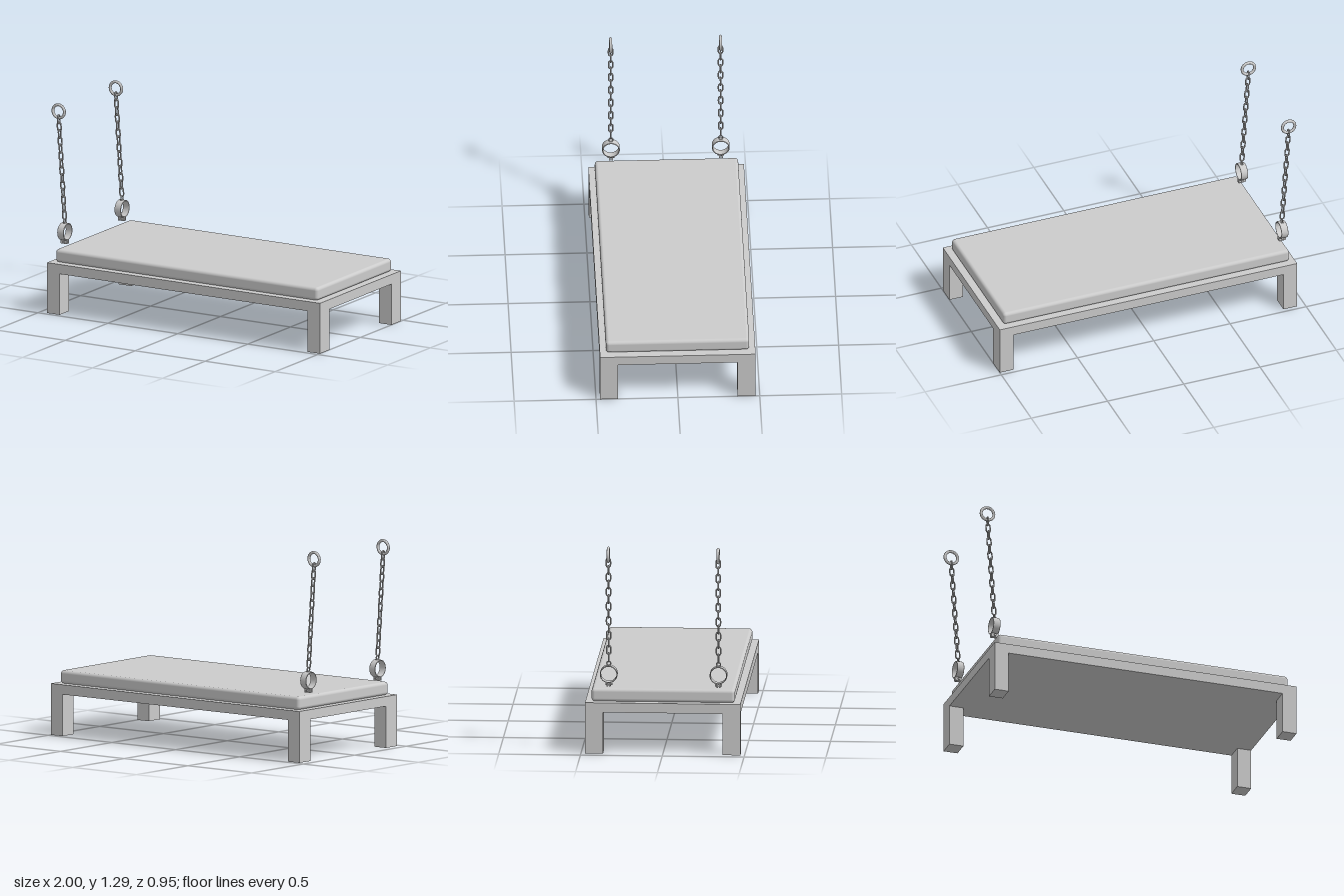
import * as THREE from 'three';
import { RoundedBoxGeometry } from 'three/addons/geometries/RoundedBoxGeometry.js';

const grey = new THREE.MeshStandardMaterial({ color: 0xcccccc });

function add(parent, name, geometry, x = 0, y = 0, z = 0) {
  const mesh = new THREE.Mesh(geometry, grey);
  mesh.name = name;
  mesh.position.set(x, y, z);
  parent.add(mesh);
  return mesh;
}

// Closed stadium-shaped wire in the XY plane, long axis on Y
function linkGeometry(halfWidth, halfLength, wire) {
  const r = halfWidth - wire, s = halfLength - halfWidth;
  const points = [];
  for (let i = 0; i < 16; i++) {
    const a = ((i + 0.5) / 16) * Math.PI * 2;
    points.push(new THREE.Vector3(r * Math.cos(a), r * Math.sin(a) + (i < 8 ? s : -s), 0));
  }
  return new THREE.TubeGeometry(new THREE.CatmullRomCurve3(points, true), 32, wire, 8, true);
}

// Thin flat hoop with its axis on X
function bandGeometry(outer, inner, width) {
  const h = width / 2, b = 0.002;
  const profile = [
    [inner, -h], [outer - b, -h], [outer, -h + b], [outer, h - b],
    [outer - b, h], [inner, h], [inner, -h],
  ];
  const shape = new THREE.LatheGeometry(profile.map(([r, y]) => new THREE.Vector2(r, y)), 40);
  return shape.rotateZ(Math.PI / 2);
}

function createRestraint(z) {
  const g = new THREE.Group();
  g.name = 'hangingChain';
  g.position.z = z;

  // Wall ring at the top
  add(g, 'topRing', new THREE.TorusGeometry(0.041, 0.009, 12, 36), -0.95, 1.24, 0);

  // Leaning chain with alternating links
  const bottom = new THREE.Vector3(-0.909, 0.594, 0);
  const top = new THREE.Vector3(-0.949, 1.19, 0);
  const chain = new THREE.Group();
  chain.name = 'chain';
  chain.position.copy(bottom);
  chain.rotation.z = Math.atan2(bottom.x - top.x, top.y - bottom.y);
  g.add(chain);
  const link = linkGeometry(0.017, 0.032, 0.0046);
  const count = 14, pitch = bottom.distanceTo(top) / (count - 1);
  for (let i = 0; i < count; i++) {
    add(chain, 'chainLink', link, 0, i * pitch, 0).rotation.y = i % 2 ? Math.PI / 2 : 0;
  }

  // Cuff with its eyelet and bolted clasp
  const cuff = new THREE.Group();
  cuff.name = 'cuff';
  cuff.position.set(-0.906, 0.49, 0);
  g.add(cuff);
  add(cuff, 'cuffBand', bandGeometry(0.054, 0.048, 0.045));
  add(cuff, 'cuffEyelet', new THREE.TorusGeometry(0.012, 0.004, 8, 24), 0, 0.066, 0).rotation.y = Math.PI / 2;
  add(cuff, 'eyeletBase', new THREE.BoxGeometry(0.016, 0.006, 0.022), 0, 0.054, 0);
  for (const side of [-1, 1]) {
    add(cuff, 'claspTab', new THREE.BoxGeometry(0.045, 0.023, 0.009), 0, -0.0635, side * 0.0075);
  }
  add(cuff, 'claspBolt', new THREE.CylinderGeometry(0.007, 0.007, 0.042, 16), 0, -0.064, 0).rotation.x = Math.PI / 2;
  return g;
}

export function createModel() {
  const model = new THREE.Group();
  model.name = 'bedWithChains';

  // Frame slab and four square legs
  add(model, 'frame', new THREE.BoxGeometry(1.95, 0.06, 0.95), 0.025, 0.287, 0);
  const leg = new THREE.BoxGeometry(0.09, 0.257, 0.11);
  for (const sx of [-1, 1]) {
    for (const sz of [-1, 1]) {
      add(model, 'leg', leg, 0.025 + sx * 0.93, 0.1285, sz * 0.42);
    }
  }

  // Padded mattress with soft edges
  add(model, 'mattress', new RoundedBoxGeometry(1.875, 0.081, 0.876, 4, 0.02), 0.0225, 0.3575, 0);

  for (const z of [-0.332, 0.339]) model.add(createRestraint(z));
  return model;
}
